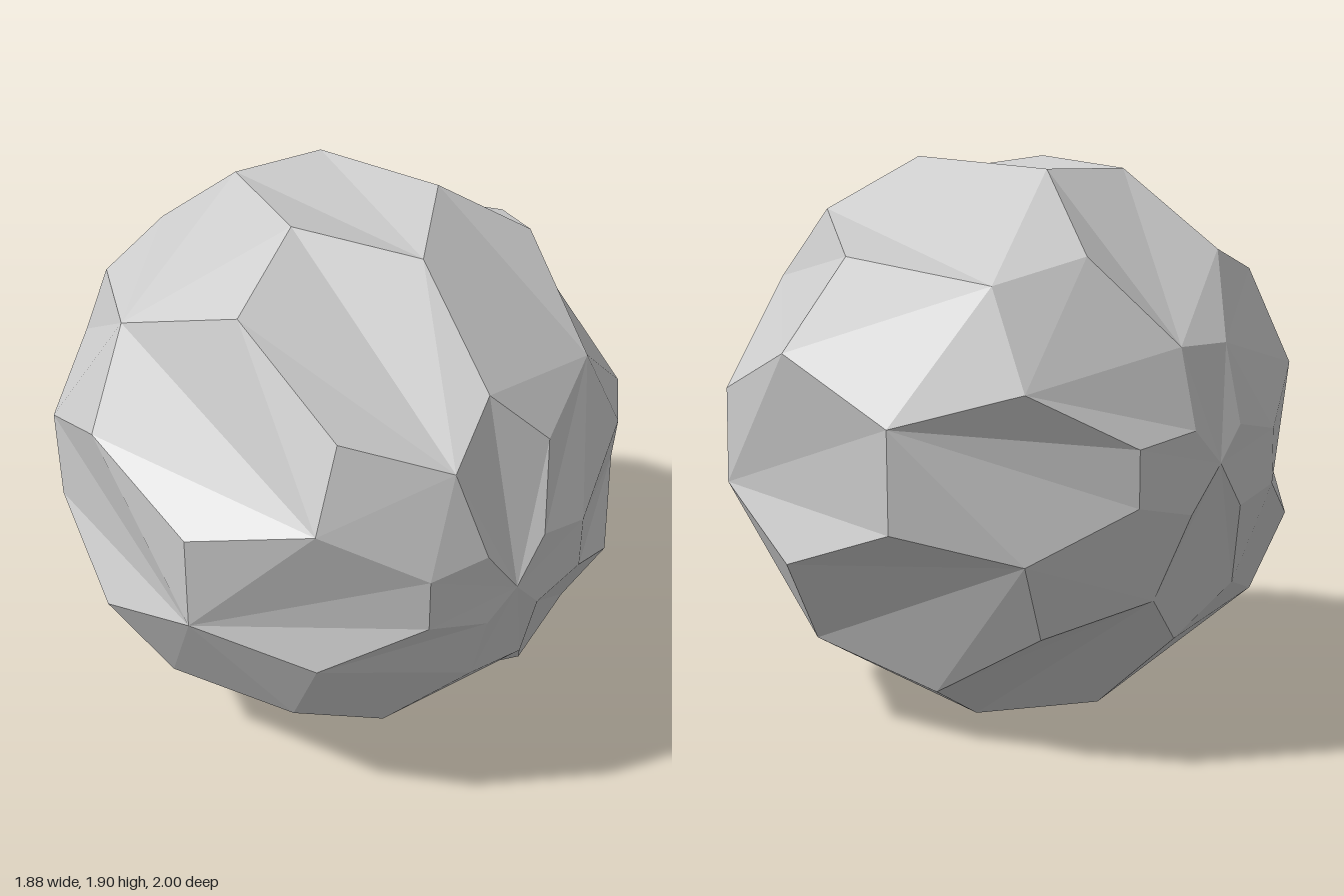
import * as THREE from 'three';

// Corner points of one quarter of the ball, all on the unit sphere
const corners = {
  P: [0, -0.02, 1], L: [0.11, 0.13, 0.985], M: [0.1, -0.13, 0.985],
  A: [0.3, 0.09, 0.95], a: [0.3, -0.09, 0.95], J: [0.18, 0.41, 0.9],
  K: [0, 0.58, 0.81], N: [0.1, -0.38, 0.92], B: [0.59, 0.26, 0.76],
  b: [0.59, -0.26, 0.76], E: [0.48, 0.52, 0.71], O: [0.29, -0.65, 0.7],
  F: [0.575, -0.57, 0.59], C: [0.875, 0.175, 0.46], c: [0.875, -0.15, 0.46],
  R: [0, 0.89, 0.46], Q: [0.17, -0.91, 0.38], G: [0.56, 0.77, 0.29],
  I: [0.28, 0.945, 0.15], H: [0.76, -0.64, 0.1], D: [0.94, 0.34, 0],
};

// Panels, counter-clockwise. "-" mirrors a corner in x, "*" turns it half
// round the x axis. The second entry is the fan corner of each copy:
// front left, front right, back left, back right ("." = no copy).
const panels = [
  ['K J- L- P L J', 'P.P.'],
  ['P M a A L', 'PPPP'],
  ['P M- N- N M', 'P.P.'],
  ['L A B E J', 'EJJA'],
  ['A a b c C B', 'cccA'],
  ['M N O F b a', 'MbbN'],
  ['K J E G I R', 'EJJE'],
  ['E B C D H* G', 'EBBE'],
  ['C c D* C* c* D', 'cc..'],
  ['b F H D* c', 'ccFH'],
  ['O Q I* G* H F', 'HFFH'],
  ['N- O- Q- Q O N', 'N.N.'],
  ['R I Q* Q*- I-', 'R.R.'],
];

function corner(token, sx, syz) {
  const [x, y, z] = corners[token[0]];
  const mx = token.includes('-') ? -sx : sx;
  const myz = token.includes('*') ? -syz : syz;
  return new THREE.Vector3(x * mx, y * myz, z * myz).normalize();
}

export function createModel() {
  const points = [];
  const copies = [[1, 1], [-1, 1], [1, -1], [-1, -1]];
  for (const [ring, fans] of panels) {
    copies.forEach(([sx, syz], q) => {
      if (fans[q] === '.') return;
      const names = ring.split(' ');
      const start = names.indexOf(fans[q]);
      const loop = names.map((_, i) => corner(names[(start + i) % names.length], sx, syz));
      // a mirrored panel runs the other way round
      if (sx < 0) loop.reverse().unshift(loop.pop());
      for (let i = 1; i < loop.length - 1; i++) points.push(loop[0], loop[i], loop[i + 1]);
    });
  }
  const geometry = new THREE.BufferGeometry().setFromPoints(points);
  geometry.translate(0, 0.945, 0);
  geometry.computeVertexNormals();

  const ball = new THREE.Mesh(
    geometry,
    new THREE.MeshStandardMaterial({ color: 0xcccccc, flatShading: true })
  );
  ball.name = 'facetedBall';
  const group = new THREE.Group();
  group.name = 'panelledBall';
  group.add(ball);
  return group;
}
